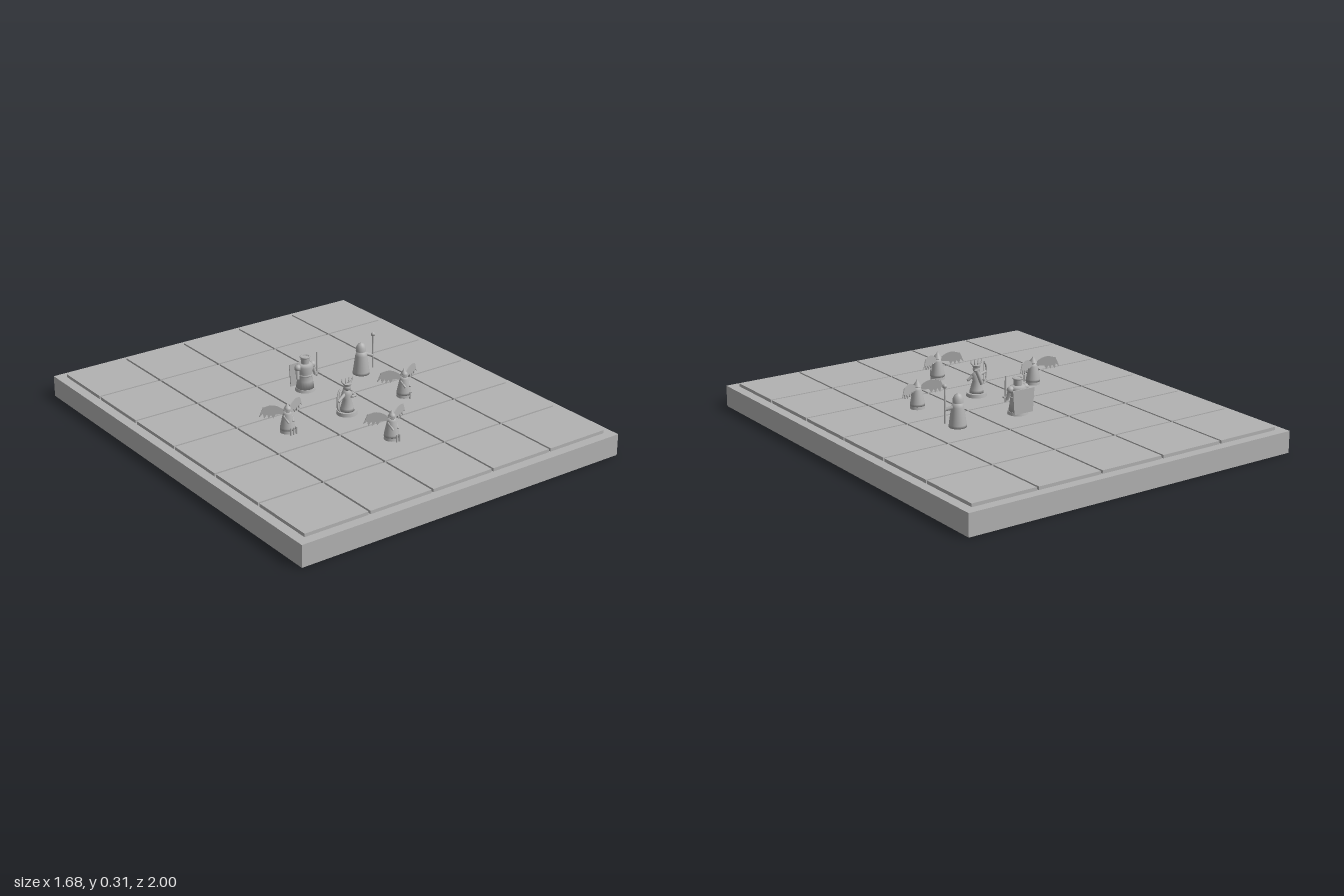
import * as THREE from 'three';

const stone = new THREE.MeshStandardMaterial({ color: 0xb2b2b2, side: THREE.DoubleSide });
stone.name = 'grey stone';

function add(parent, name, geometry, x = 0, y = 0, z = 0) {
  const m = new THREE.Mesh(geometry, stone);
  m.name = name;
  m.position.set(x, y, z);
  parent.add(m);
  return m;
}
const box = (w, h, d) => new THREE.BoxGeometry(w, h, d);
const cyl = (top, bottom, h, n = 20) => new THREE.CylinderGeometry(top, bottom, h, n);
const ball = (r) => new THREE.SphereGeometry(r, 16, 10);
const lathe = (pts) => new THREE.LatheGeometry(pts.map(([r, y]) => new THREE.Vector2(r, y)), 20);

// Round bar between two points
function rod(parent, name, a, b, r0, r1 = r0) {
  const p = new THREE.Vector3(...a), q = new THREE.Vector3(...b);
  const d = q.clone().sub(p);
  const m = add(parent, name, cyl(r1, r0, d.length(), 8));
  m.position.copy(p).add(q).multiplyScalar(0.5);
  m.quaternion.setFromUnitVectors(new THREE.Vector3(0, 1, 0), d.normalize());
  return m;
}

// Scalloped feather wing, growing along +x
function wingGeometry() {
  const s = new THREE.Shape();
  s.moveTo(0, 0.105);
  s.quadraticCurveTo(0.03, 0.132, 0.06, 0.13);
  s.lineTo(0.09, 0.122);
  [[0.108, 0.078], [0.091, 0.092], [0.086, 0.07], [0.073, 0.088], [0.066, 0.068],
    [0.056, 0.085], [0.046, 0.068], [0.036, 0.086], [0, 0.085]].forEach(([x, y]) => s.lineTo(x, y));
  s.closePath();
  return new THREE.ExtrudeGeometry(s, { depth: 0.004, bevelEnabled: false });
}

// Hooded winged guard with a row of small posts before it
function wingedGuard(posts) {
  const g = new THREE.Group();
  add(g, 'foot', cyl(0.032, 0.034, 0.014), 0, 0.007);
  add(g, 'robe', lathe([[0, 0.014], [0.034, 0.014], [0.033, 0.025], [0.02, 0.086], [0.015, 0.094], [0, 0.097]]));
  add(g, 'head', ball(0.015), 0, 0.106, 0.003);
  add(g, 'hood', cyl(0.001, 0.019, 0.032), 0, 0.118, -0.001);
  for (const s of [1, -1]) {
    const w = new THREE.Group();
    w.name = s > 0 ? 'leftWing' : 'rightWing';
    w.position.set(s * 0.014, 0, -0.009);
    w.scale.x = s;
    add(w, 'feathers', wingGeometry()).rotation.y = 0.44;
    g.add(w);
    rod(g, 'arm', [s * 0.02, 0.08, 0], [s * 0.012, 0.052, 0.027], 0.006, 0.005);
  }
  for (let i = 0; i < posts; i++) {
    add(g, 'post', cyl(0.004, 0.004, 0.034, 8), (i - (posts - 1) / 2) * 0.015, 0.019, 0.046);
  }
  return g;
}

// Horned archer on a round plinth
function archer() {
  const g = new THREE.Group();
  add(g, 'plinth', cyl(0.045, 0.048, 0.016, 28), 0, 0.008);
  add(g, 'robe', lathe([[0, 0.016], [0.033, 0.016], [0.03, 0.03], [0.018, 0.072], [0.025, 0.098], [0.01, 0.112], [0, 0.114]]));
  add(g, 'head', ball(0.017), 0, 0.126);
  add(g, 'crown', cyl(0.02, 0.016, 0.012), 0, 0.139);
  for (const s of [1, -1]) {
    rod(g, 'horn', [s * 0.012, 0.14, 0], [s * 0.03, 0.159, 0], 0.005, 0.003);
    rod(g, 'hornTip', [s * 0.029, 0.157, 0], [s * 0.028, 0.17, 0], 0.004, 0.001);
    rod(g, 'innerHorn', [s * 0.007, 0.143, 0], [s * 0.011, 0.173, 0], 0.004, 0.001);
  }
  rod(g, 'bowArm', [-0.02, 0.095, 0.005], [-0.08, 0.09, 0.042], 0.008, 0.006);
  rod(g, 'drawArm', [0.022, 0.096, 0], [0.042, 0.078, 0.008], 0.008, 0.006);
  rod(g, 'forearm', [0.042, 0.078, 0.008], [0.004, 0.088, 0.026], 0.006);
  // Bow curve with its string
  const pts = [[-0.062, 0.142, 0.03], [-0.08, 0.122, 0.04], [-0.086, 0.09, 0.045],
    [-0.08, 0.058, 0.04], [-0.062, 0.038, 0.03]];
  const path = new THREE.CatmullRomCurve3(pts.map((p) => new THREE.Vector3(...p)));
  add(g, 'bow', new THREE.TubeGeometry(path, 20, 0.004, 6));
  rod(g, 'bowString', pts[0], pts[4], 0.0012);
  rod(g, 'quiver', [-0.012, 0.06, -0.025], [0.018, 0.13, -0.025], 0.009);
  return g;
}

// Armoured ruler with a back cape and upright sword
function ruler() {
  const g = new THREE.Group();
  add(g, 'foot', cyl(0.044, 0.047, 0.014, 24), 0, 0.007);
  add(g, 'robe', lathe([[0, 0.014], [0.042, 0.014], [0.036, 0.05], [0.033, 0.09], [0.04, 0.118], [0.03, 0.13], [0, 0.132]]));
  add(g, 'belt', new THREE.TorusGeometry(0.034, 0.004, 6, 24), 0, 0.078).rotation.x = Math.PI / 2;
  add(g, 'head', cyl(0.02, 0.018, 0.032), 0, 0.146);
  add(g, 'crown', new THREE.TorusGeometry(0.021, 0.004, 6, 20), 0, 0.162).rotation.x = Math.PI / 2;
  const cape = new THREE.Shape();
  [[-0.05, 0.012], [0.05, 0.012], [0.058, 0.122], [-0.058, 0.122]].forEach(([x, y], i) => (i ? cape.lineTo(x, y) : cape.moveTo(x, y)));
  add(g, 'cape', new THREE.ExtrudeGeometry(cape, { depth: 0.005, bevelEnabled: false }), 0, 0, -0.045);
  for (const s of [1, -1]) {
    add(g, 'shoulder', ball(0.016), s * 0.04, 0.116, 0);
    rod(g, 'arm', [s * 0.042, 0.112, 0], [s * 0.05, 0.068, 0.014], 0.01, 0.008);
  }
  rod(g, 'sword', [0.055, 0.06, 0.015], [0.055, 0.178, 0.015], 0.005, 0.004);
  add(g, 'swordGuard', box(0.026, 0.006, 0.008), 0.055, 0.082, 0.015);
  return g;
}

// Domed mage with an orb staff
function mage() {
  const g = new THREE.Group();
  add(g, 'robe', lathe([[0, 0], [0.04, 0], [0.039, 0.012], [0.028, 0.09], [0.022, 0.11], [0, 0.114]]));
  add(g, 'head', ball(0.02), 0, 0.124);
  add(g, 'hood', lathe([[0.024, 0.11], [0.023, 0.13], [0.014, 0.146], [0, 0.152]]), 0, 0, -0.003);
  rod(g, 'arm', [0.024, 0.092, 0], [0.054, 0.082, 0.016], 0.009, 0.007);
  rod(g, 'staff', [0.055, 0.02, 0.016], [0.055, 0.186, 0.016], 0.004);
  add(g, 'orb', ball(0.01), 0.055, 0.188, 0.016);
  return g;
}

export function createModel() {
  const model = new THREE.Group();
  model.name = 'gameBoard';
  add(model, 'boardBase', box(1.68, 0.1, 2), 0, 0.05, 0);

  // Five by six floor tiles
  for (let i = 0; i < 5; i++) {
    for (let j = 0; j < 6; j++) {
      add(model, 'tile', box(0.31, 0.015, 0.31), (i - 2) * 0.32, 0.1075, (j - 2.5) * 0.32);
    }
  }

  const pieces = [
    ['threePostGuard', wingedGuard(3), -0.32, 0.16],
    ['onePostGuard', wingedGuard(1), 0.32, 0.16],
    ['twoPostGuard', wingedGuard(2), 0, 0.48],
    ['archer', archer(), 0, 0.16],
    ['ruler', ruler(), 0, -0.16],
    ['mage', mage(), 0.32, -0.16],
  ];
  for (const [name, piece, x, z] of pieces) {
    piece.name = name;
    piece.position.set(x, 0.115, z);
    model.add(piece);
  }
  return model;
}
